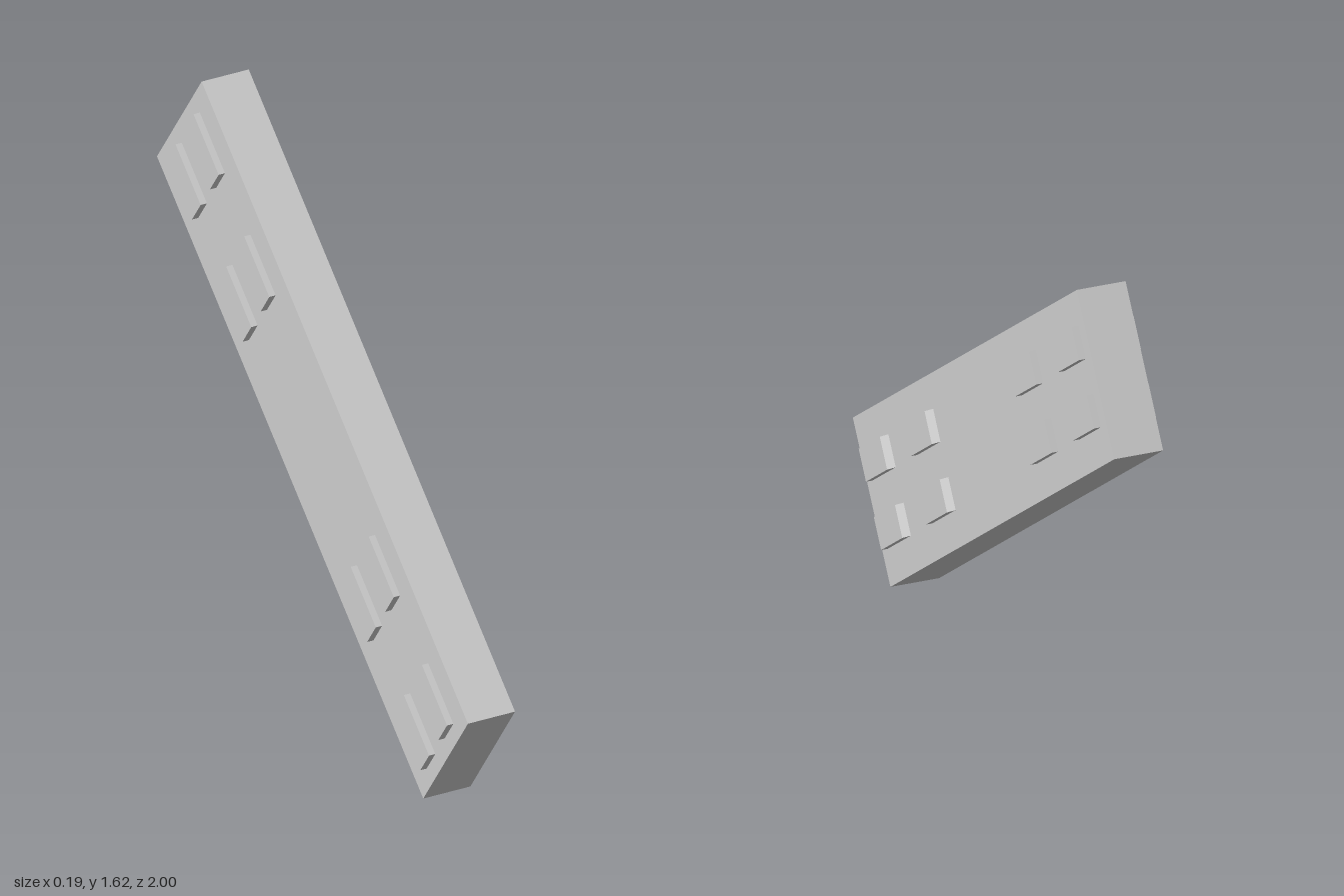
import * as THREE from 'three';

const material = new THREE.MeshStandardMaterial({ color: 0xcccccc, flatShading: true });
const HALF = 0.075;  // half thickness of the slab
const RAISE = 0.02;  // height of a pad above the slab

// Raised pad; a ramp lengthens its foot towards the upper end of the slab
function pad(side, y, z, ramp) {
  const geometry = new THREE.BoxGeometry(RAISE, 0.097, 0.198);
  const p = geometry.attributes.position;
  for (let i = 0; i < p.count; i++) {
    if (p.getX(i) * side < 0 && p.getZ(i) < 0) p.setZ(i, p.getZ(i) - ramp);
  }
  geometry.computeVertexNormals();
  const mesh = new THREE.Mesh(geometry, material);
  mesh.name = `${side > 0 ? 'left' : 'right'}Pad`;
  mesh.position.set(side * (HALF + RAISE / 2), y, z);
  return mesh;
}

export function createModel() {
  const model = new THREE.Group();
  model.name = 'paddedSlab';

  // Tilted assembly: local z runs down the length, local y across the width
  const tilted = new THREE.Group();
  tilted.name = 'tiltedSlab';
  tilted.rotation.x = 0.615;
  tilted.position.y = 0.808;
  model.add(tilted);

  const slab = new THREE.Mesh(new THREE.BoxGeometry(HALF * 2, 0.498, 2.098), material);
  slab.name = 'slab';
  tilted.add(slab);

  // Two rows of four pads on each broad face
  for (const side of [-1, 1]) {
    for (const y of [-0.097, 0.104]) {
      for (const z of [-0.896, -0.497, 0.484, 0.903]) {
        tilted.add(pad(side, y, z, side > 0 && z > 0 ? 0.02 : 0));
      }
    }
  }
  return model;
}
